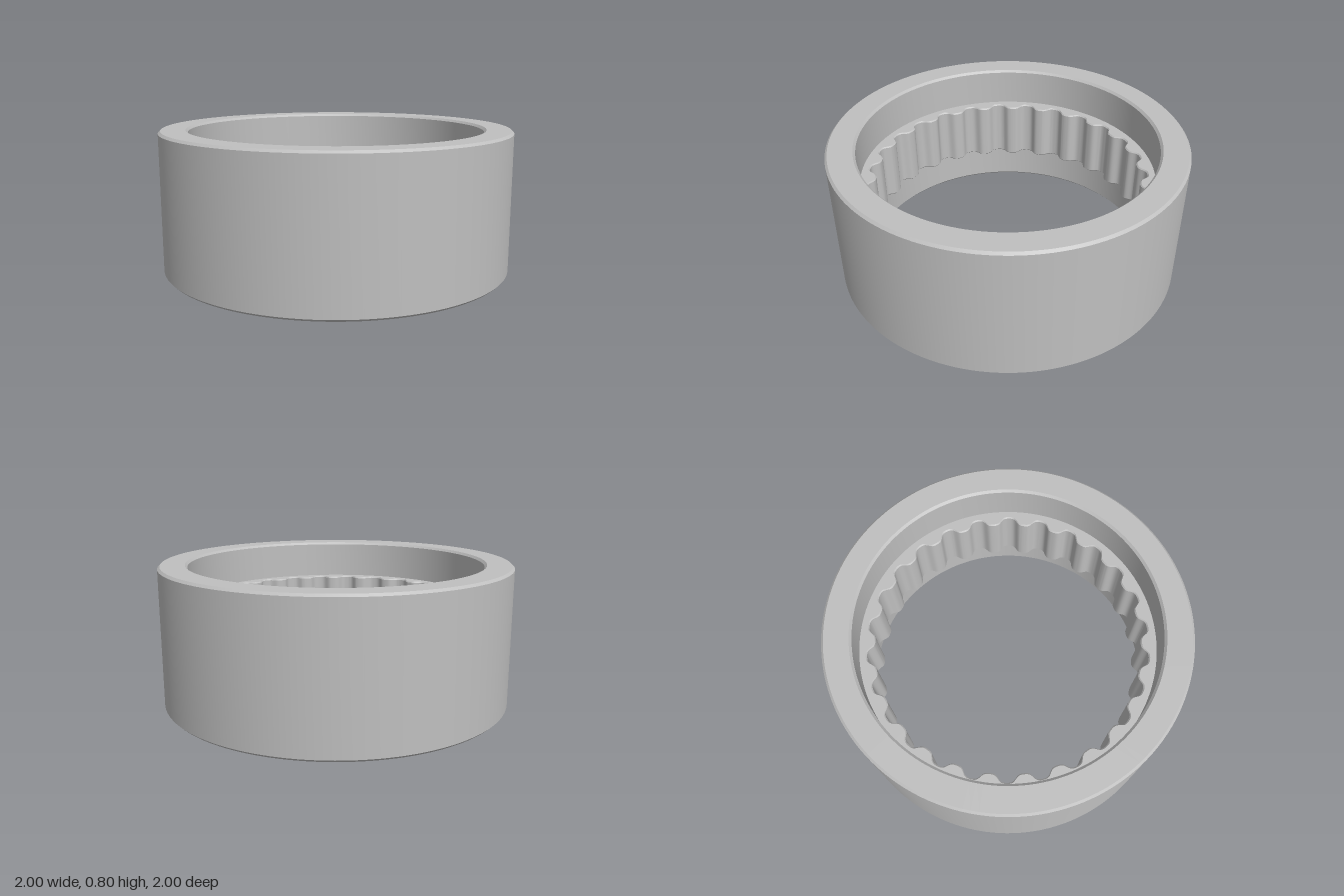
import * as THREE from 'three';
import { toCreasedNormals } from 'three/addons/utils/BufferGeometryUtils.js';

const HEIGHT = 0.8, OUTER = 1, BORE = 0.838, EDGE = 0.013;
const TEETH = 26, TOOTH_MID = 0.773, TOOTH_AMP = 0.023;
const LEDGE_LOW = 0.225, LEDGE_HIGH = 0.575, TOOTH_EDGE = 0.007;

const lathe = (profile, segments) =>
  new THREE.LatheGeometry(profile.map(([r, y]) => new THREE.Vector2(r, y)), segments);

// Rounded wave around the bore: valley at the front, tooth at each side
function toothOffset(angle) {
  return TOOTH_AMP * Math.tanh(1.6 * Math.cos(TEETH * angle)) / Math.tanh(1.6);
}

export function createModel() {
  const steel = new THREE.MeshStandardMaterial({ color: 0xbfbfbf });
  steel.name = 'steel grey';
  const group = new THREE.Group();
  group.name = 'splinedRing';

  // Plain sleeve with chamfered rims and a recess at each end
  const upperSleeve = [
    [OUTER, HEIGHT - EDGE], [OUTER - EDGE, HEIGHT],
    [BORE + EDGE, HEIGHT], [BORE, HEIGHT - EDGE], [BORE, LEDGE_HIGH],
  ];
  const lowerSleeve = upperSleeve.map(([r, y]) => [r, HEIGHT - y]).reverse();
  const sleeveGeometries = [
    ['lowerRim', lowerSleeve],
    ['outerWall', [lowerSleeve.at(-1), upperSleeve[0]]],
    ['upperRim', upperSleeve],
  ];
  for (const [name, profile] of sleeveGeometries) {
    const mesh = new THREE.Mesh(toCreasedNormals(lathe(profile, 144), 0.5), steel);
    mesh.name = name;
    group.add(mesh);
  }

  // Toothed band: a lathed step whose inner points follow the wave
  const band = lathe([
    [BORE, LEDGE_HIGH],
    [TOOTH_MID + TOOTH_EDGE, LEDGE_HIGH],
    [TOOTH_MID, LEDGE_HIGH - TOOTH_EDGE],
    [TOOTH_MID, LEDGE_LOW + TOOTH_EDGE],
    [TOOTH_MID + TOOTH_EDGE, LEDGE_LOW],
    [BORE, LEDGE_LOW],
  ], TEETH * 24);
  const pos = band.attributes.position;
  for (let i = 0; i < pos.count; i++) {
    const x = pos.getX(i), z = pos.getZ(i), r = Math.hypot(x, z);
    if (r > BORE - 0.01) continue;
    const scale = (r + toothOffset(Math.atan2(x, z))) / r;
    pos.setX(i, x * scale);
    pos.setZ(i, z * scale);
  }
  const teeth = new THREE.Mesh(toCreasedNormals(band, 0.5), steel);
  teeth.name = 'innerTeeth';
  group.add(teeth);

  return group;
}
